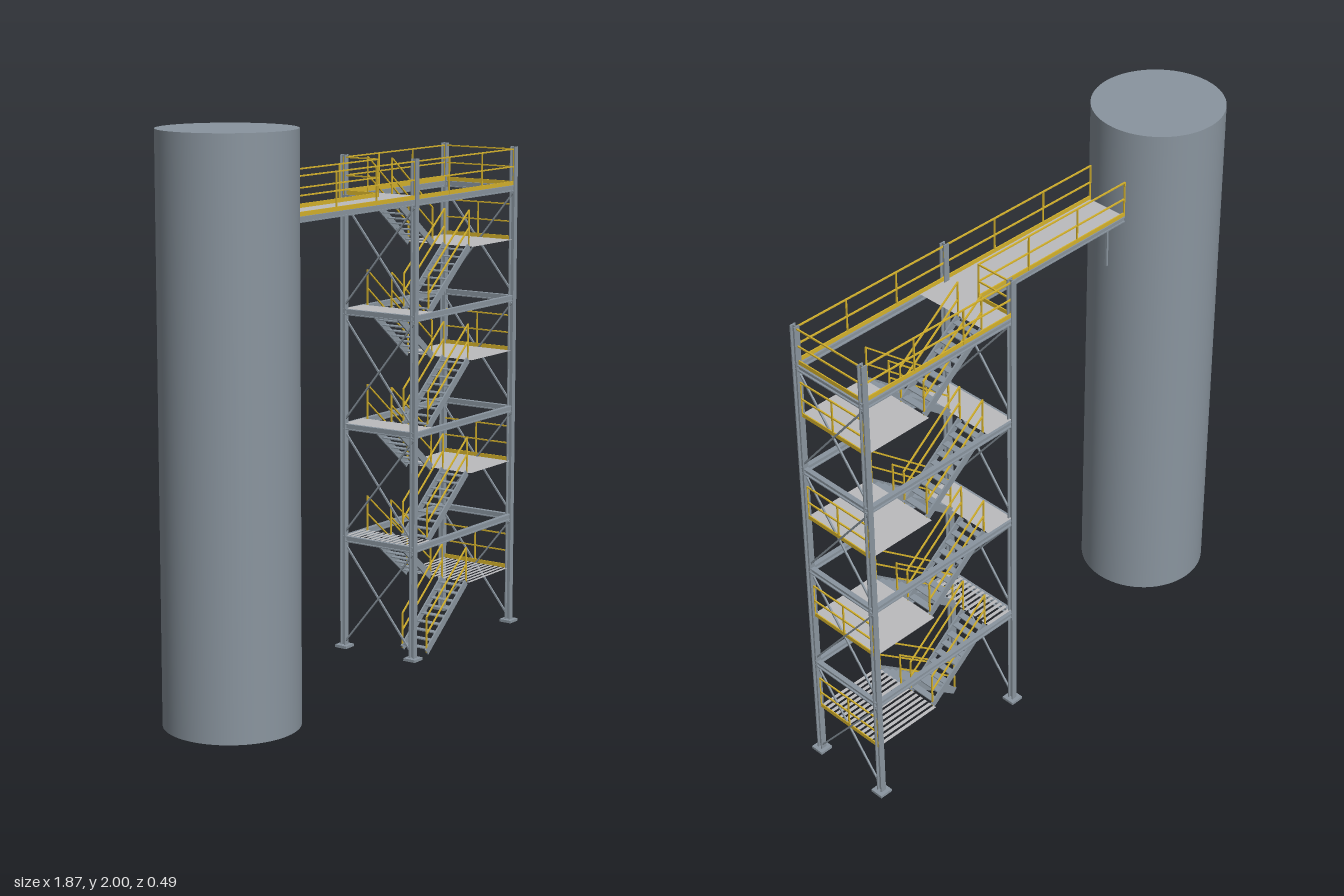
import * as THREE from 'three';

const steel = new THREE.MeshStandardMaterial({ color: 0x8a959f });
steel.name = 'steel';
const yellow = new THREE.MeshStandardMaterial({ color: 0xd6b32c });
yellow.name = 'safety yellow';
const grating = new THREE.MeshStandardMaterial({ color: 0xbcbcbe, side: THREE.DoubleSide });
grating.name = 'grating grey';

const X0 = 0.255, X1 = 0.907, Z0 = -0.222, Z1 = 0.085; // tower column centres
const SX0 = 0.37, SX1 = 0.632;                         // stair flight ends
const LEVELS = [0.435, 0.855, 1.277, 1.69];            // floor heights
const MIDS = [0.225, 0.645, 1.07, 1.49];               // half landing heights

// straight member of width w and height h between two points
function bar(parent, name, a, b, w, h, material) {
  const p = new THREE.Vector3(...a), q = new THREE.Vector3(...b);
  const mesh = new THREE.Mesh(new THREE.BoxGeometry(w, h, p.distanceTo(q)), material);
  mesh.name = name;
  mesh.position.copy(p).add(q).multiplyScalar(0.5);
  mesh.lookAt(q);
  parent.add(mesh);
  return mesh;
}

// I-section beam: two flanges and a web
function beam(parent, name, a, b, w = 0.018, h = 0.022) {
  const t = 0.004, lift = (p, d) => [p[0], p[1] + d, p[2]];
  for (const d of [-1, 1]) bar(parent, name + 'Flange', lift(a, d * (h - t) / 2), lift(b, d * (h - t) / 2), w, t, steel);
  bar(parent, name + 'Web', a, b, t, h - t, steel);
}

// level guard rail with posts and an optional toe board
function guardRail(parent, a, b, posts, toe = true) {
  const g = new THREE.Group();
  g.name = 'guardRail';
  const up = (p, d) => [p[0], p[1] + d, p[2]];
  for (const d of [0.068, 0.133]) bar(g, 'rail', up(a, d), up(b, d), 0.005, 0.005, yellow);
  for (let i = 0; i < posts; i++) {
    const p = a.map((v, k) => v + (b[k] - v) * i / (posts - 1));
    bar(g, 'railPost', p, up(p, 0.135), 0.005, 0.005, yellow);
  }
  if (toe) bar(g, 'toeBoard', up(a, 0.007), up(b, 0.007), 0.004, 0.015, yellow);
  parent.add(g);
}

// thin deck, either a sheet or open flat bars along x
function deck(parent, name, x0, x1, z0, z1, y, open) {
  const n = open ? 14 : 1, pitch = (z1 - z0) / n;
  for (let i = 0; i < n; i++) {
    const geo = new THREE.PlaneGeometry(x1 - x0, open ? pitch * 0.6 : pitch).rotateX(-Math.PI / 2);
    const mesh = new THREE.Mesh(geo, grating);
    mesh.name = name;
    mesh.position.set((x0 + x1) / 2, y, z0 + (i + 0.5) * pitch);
    parent.add(mesh);
  }
}

// one flight: stringers, treads and sloping handrails on both sides
function flight(parent, xa, ya, xb, yb, z0, z1) {
  const g = new THREE.Group();
  g.name = 'stairFlight';
  for (const z of [z0, z1]) {
    bar(g, 'stringer', [xa, ya, z], [xb, yb, z], 0.006, 0.026, steel);
    for (const d of [0.068, 0.133]) bar(g, 'handrail', [xa, ya + d, z], [xb, yb + d, z], 0.005, 0.005, yellow);
    bar(g, 'handrailPost', [xa, ya, z], [xa, ya + 0.135, z], 0.005, 0.005, yellow);
    bar(g, 'handrailPost', [xb, yb, z], [xb, yb + 0.135, z], 0.005, 0.005, yellow);
  }
  const n = 9;
  for (let i = 0; i < n; i++) {
    const t = (i + 0.5) / n, x = xa + (xb - xa) * t, y = ya + (yb - ya) * t;
    bar(g, 'tread', [x, y, z0], [x, y, z1], 0.025, 0.004, steel);
  }
  parent.add(g);
}

export function createModel() {
  const model = new THREE.Group();

  // storage tank
  const tank = new THREE.Mesh(new THREE.CylinderGeometry(0.233, 0.233, 1.985, 64), steel);
  tank.name = 'tank';
  tank.position.set(-0.705, 1.0075, 0.01);
  model.add(tank);

  // columns with H section and base plates
  const frame = new THREE.Group();
  frame.name = 'towerFrame';
  for (const x of [X0, X1]) for (const z of [Z0, Z1]) {
    for (const s of [-1, 1]) bar(frame, 'columnFlange', [x, 0.015, z + s * 0.009], [x, 1.838, z + s * 0.009], 0.022, 0.004, steel)
      .rotation.set(Math.PI / 2, 0, 0);
    const web = bar(frame, 'columnWeb', [x, 0.015, z], [x, 1.838, z], 0.004, 0.016, steel);
    web.rotation.set(Math.PI / 2, 0, 0);
    bar(frame, 'basePlate', [x, 0.02, z - 0.025], [x, 0.02, z + 0.025], 0.05, 0.01, steel);
  }

  // floor beams and end cross bracing
  LEVELS.forEach((y, i) => {
    const yb = y - 0.007;
    for (const z of [Z0, Z1]) beam(frame, 'longBeam', [X0, yb, z], [X1, yb, z]);
    for (const x of [X0, X1]) {
      beam(frame, 'crossBeam', [x, yb, Z0], [x, yb, Z1]);
      const low = i ? LEVELS[i - 1] + 0.012 : 0.03, high = y - 0.025;
      bar(frame, 'brace', [x - 0.003, low, Z0], [x - 0.003, high, Z1], 0.006, 0.006, steel);
      bar(frame, 'brace', [x + 0.003, high, Z0], [x + 0.003, low, Z1], 0.006, 0.006, steel);
    }
  });
  model.add(frame);

  // stairs and landings
  const stairs = new THREE.Group();
  stairs.name = 'stairTower';
  LEVELS.forEach((y, i) => {
    const base = i ? LEVELS[i - 1] : 0.015, mid = MIDS[i];
    flight(stairs, SX0, base, SX1, mid, -0.04, 0.067);
    flight(stairs, SX1, mid, SX0, y, -0.2, -0.093);
    deck(stairs, 'halfLanding', SX1, X1, Z0, Z1, mid, i === 0);
    deck(stairs, 'floorLanding', X0, SX0, Z0, Z1, y + 0.005, i === 0);
    guardRail(stairs, [X1, mid, Z0 + 0.006], [X1, mid, Z1 - 0.01], 3);
  });
  model.add(stairs);

  // walkway to the tank
  const walkway = new THREE.Group();
  walkway.name = 'walkway';
  const W0 = -0.448, ZA = -0.073, Y = 1.695;
  deck(walkway, 'walkwayDeck', W0, X0, ZA, Z1, Y, false);
  for (const z of [ZA, -0.01, Z1]) beam(walkway, 'walkwayBeam', [W0, 1.684, z], [X0, 1.684, z], 0.012, 0.02);
  beam(walkway, 'walkwayEndBeam', [W0 + 0.006, 1.684, ZA], [W0 + 0.006, 1.684, Z1], 0.012, 0.02);
  bar(walkway, 'hangerPost', [-0.39, 1.51, -0.05], [-0.39, 1.685, -0.05], 0.008, 0.008, steel);
  for (const z of [ZA, Z1]) guardRail(walkway, [W0, Y, z], [X0, Y, z], 4);
  model.add(walkway);

  // rails round the tower top
  const topRails = new THREE.Group();
  topRails.name = 'topRails';
  for (const z of [Z0, Z1]) guardRail(topRails, [X0, Y, z], [X1, Y, z], 4);
  guardRail(topRails, [X1, Y, Z0], [X1, Y, Z1], 2);
  guardRail(topRails, [X0, Y, Z0], [X0, Y, ZA], 2);
  model.add(topRails);

  return model;
}
